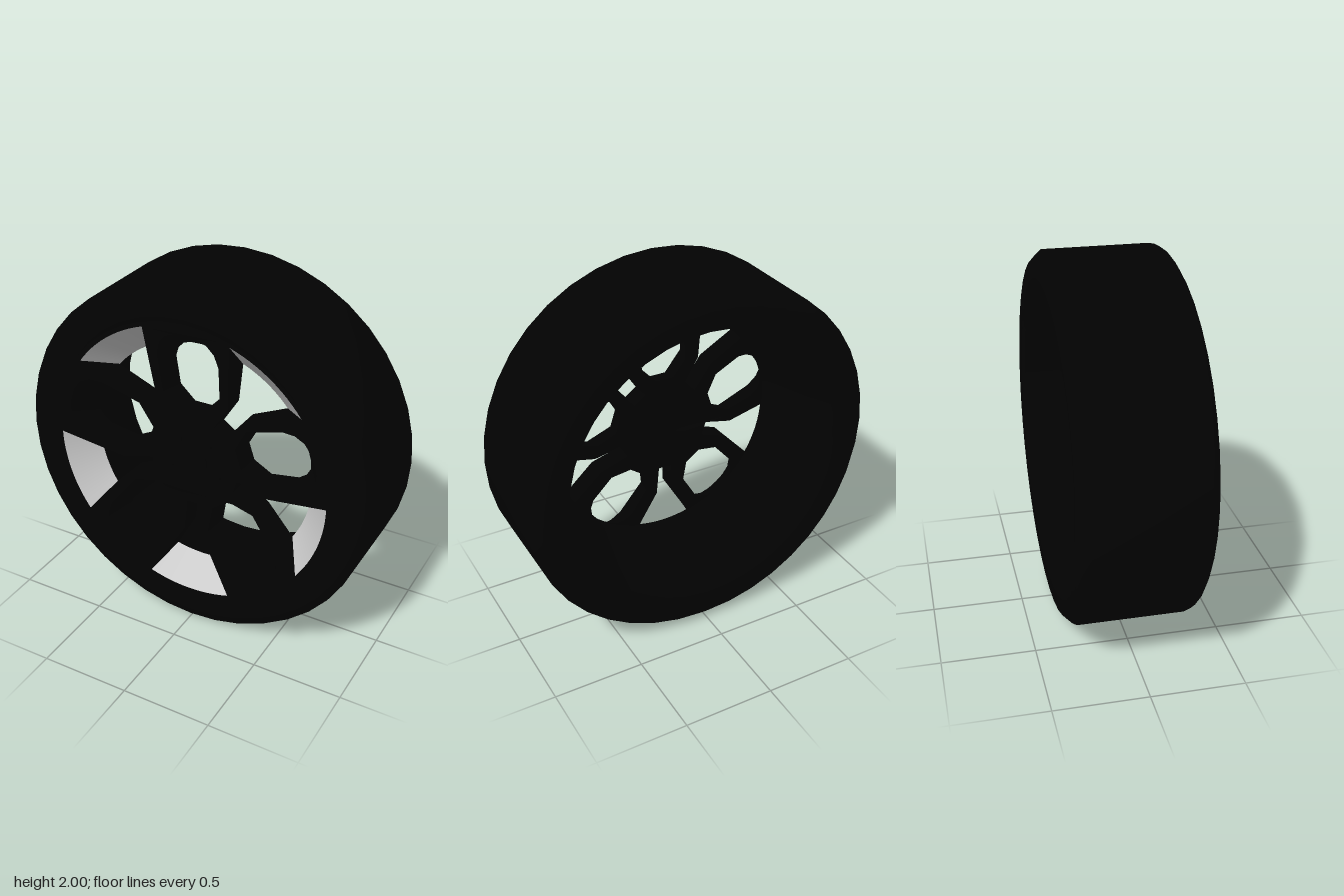
import * as THREE from 'three';
import { toCreasedNormals } from 'three/addons/utils/BufferGeometryUtils.js';

const black = new THREE.MeshStandardMaterial({ color: 0x020202, side: THREE.DoubleSide });
const grey = new THREE.MeshStandardMaterial({ color: 0xcccccc, side: THREE.DoubleSide });

// Depth of the dished spoke face and of its rear face at a given radius
const frontZ = (r) => 0.26 + 0.07 * THREE.MathUtils.clamp((r - 0.31) / 0.48, 0, 1.1);
const backZ = (r) => 0.15 + 0.03 * THREE.MathUtils.clamp((r - 0.31) / 0.34, 0, 1);

function addMesh(parent, name, geometry, material = black) {
  const mesh = new THREE.Mesh(geometry, material);
  mesh.name = name;
  parent.add(mesh);
  return mesh;
}

// Revolve a list of [radius, z] around the z axis
function revolve(points) {
  const g = new THREE.LatheGeometry(points.map(([r, z]) => new THREE.Vector2(r, z)), 40);
  return toCreasedNormals(g.rotateX(Math.PI / 2), 0.9);
}

function disc(radius, z0, z1, sides, x = 0, y = 0) {
  return new THREE.CylinderGeometry(radius, radius, z1 - z0, sides)
    .rotateX(Math.PI / 2).translate(x, y, (z0 + z1) / 2);
}

// Wedge opening between two spoke pairs, pointing up: rim arc first, then the hub end
const ARC = 12;
function wedge(radius, halfAngle) {
  const pts = [];
  for (let i = 0; i <= ARC; i++) {
    const a = halfAngle * (1 - (2 * i) / ARC);
    pts.push(new THREE.Vector2(Math.sin(a) * radius, Math.cos(a) * radius));
  }
  for (const [x, y] of [[-0.05, 0.43], [-0.04, 0.26], [0.04, 0.26], [0.05, 0.43]])
    pts.push(new THREE.Vector2(x, y));
  return pts;
}

// Rounded window inside a spoke pair, mirrored from its right half (top to bottom)
function windowOutline(half) {
  const right = half.map(([x, y]) => new THREE.Vector2(x, y));
  const left = half.filter(([x]) => x > 0).map(([x, y]) => new THREE.Vector2(-x, y)).reverse();
  return [...right, ...left];
}

const wedgeFront = wedge(0.79, 0.312);
const wedgeBack = wedge(0.645, 0.241);
const windowFront = windowOutline([[0, 0.75], [0.06, 0.745], [0.115, 0.725], [0.155, 0.68],
  [0.175, 0.61], [0.165, 0.385], [0.06, 0.275]]);
const windowBack = windowOutline([[0, 0.65], [0.05, 0.648], [0.095, 0.635], [0.128, 0.6],
  [0.145, 0.55], [0.13, 0.385], [0.05, 0.3]]);

const rotated = (pts, angle) => pts.map((p) => p.clone().rotateAround(new THREE.Vector2(), angle));
const windowAngle = (i) => (i * Math.PI * 2) / 5;
const wedgeAngle = (i) => windowAngle(i) + Math.PI / 5;

// Pierced plate bent to a depth rule
function plate(radius, wedgePts, windowPts, depth) {
  const shape = new THREE.Shape();
  shape.absarc(0, 0, radius, 0, Math.PI * 2);
  for (let i = 0; i < 5; i++) {
    shape.holes.push(new THREE.Path(rotated(wedgePts, wedgeAngle(i))));
    shape.holes.push(new THREE.Path(rotated(windowPts, windowAngle(i))));
  }
  const g = new THREE.ShapeGeometry(shape, 20);
  const p = g.attributes.position;
  for (let i = 0; i < p.count; i++) p.setZ(i, depth(Math.hypot(p.getX(i), p.getY(i))));
  g.computeVertexNormals();
  return g;
}

// Wall of an opening, joining its front outline to its rear outline
function wall(front, back, from, to) {
  const pos = [], index = [];
  for (let k = from; k <= to; k++) {
    const f = front[k % front.length], b = back[k % back.length];
    pos.push(f.x, f.y, frontZ(f.length()), b.x, b.y, backZ(b.length()));
    const n = (k - from) * 2;
    if (k < to) index.push(n, n + 1, n + 2, n + 2, n + 1, n + 3);
  }
  const g = new THREE.BufferGeometry();
  g.setAttribute('position', new THREE.Float32BufferAttribute(pos, 3));
  g.setIndex(index);
  g.computeVertexNormals();
  return toCreasedNormals(g, 0.6);
}

export function createModel() {
  const model = new THREE.Group();
  model.name = 'wheel';
  const wheel = new THREE.Group();
  wheel.name = 'wheelAssembly';
  wheel.position.y = 1;
  model.add(wheel);

  // Tyre with chamfered shoulders, and the tapering barrel behind the spokes
  addMesh(wheel, 'tire', revolve([[0.785, -0.33], [0.82, -0.34], [0.95, -0.34],
    [1, -0.29], [1, 0.285], [0.985, 0.312], [0.95, 0.333], [0.9, 0.337], [0.83, 0.333], [0.79, 0.315]]));
  addMesh(wheel, 'rimBarrel', revolve([[0.655, 0.18], [0.667, 0.12], [0.74, -0.15], [0.785, -0.33]]));

  // Spoke faces
  addMesh(wheel, 'spokeFront', plate(0.815, wedgeFront, windowFront, frontZ));
  addMesh(wheel, 'spokeBack', plate(0.66, wedgeBack, windowBack, backZ));

  // Opening walls: bright rim arcs, dark spoke sides and window sleeves
  const wedgeEnd = wedgeFront.length;
  for (let i = 0; i < 5; i++) {
    addMesh(wheel, 'rimInsert', wall(wedgeFront, wedgeBack, 0, ARC), grey).rotation.z = wedgeAngle(i);
    addMesh(wheel, 'spokeSides', wall(wedgeFront, wedgeBack, ARC, wedgeEnd)).rotation.z = wedgeAngle(i);
    addMesh(wheel, 'windowSleeve', wall(windowFront, windowBack, 0, windowFront.length))
      .rotation.z = windowAngle(i);
  }

  // Hub cap and wheel bolts
  addMesh(wheel, 'hubCap', disc(0.085, 0.24, 0.27, 30));
  for (let i = 0; i < 5; i++) {
    const a = wedgeAngle(i) + Math.PI / 2;
    addMesh(wheel, 'wheelBolt', disc(0.022, 0.24, 0.27, 6, Math.cos(a) * 0.15, Math.sin(a) * 0.15));
  }
  return model;
}
